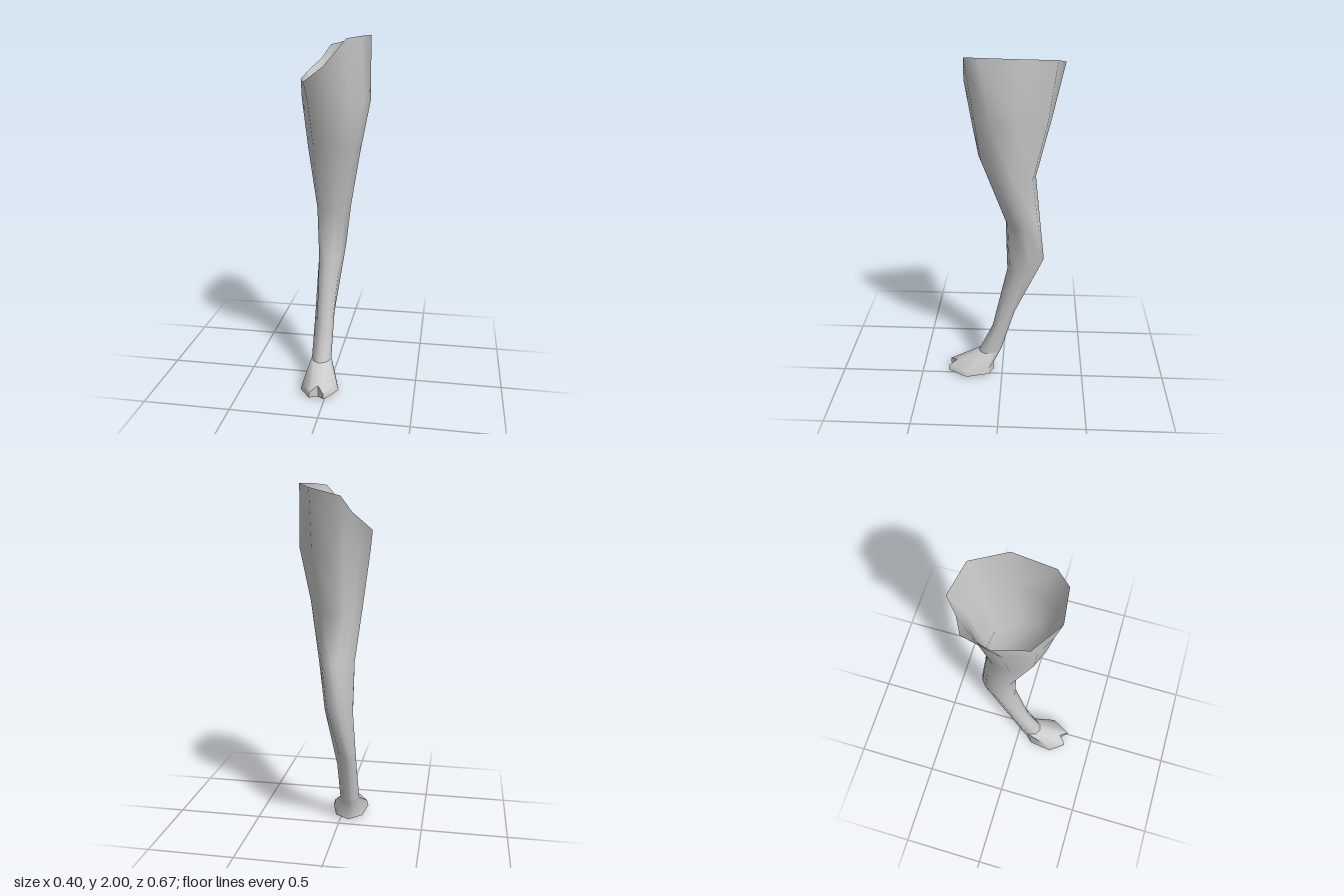
import * as THREE from 'three';
import { toCreasedNormals } from 'three/addons/utils/BufferGeometryUtils.js';

// Directions of the ten lengthwise edges, in degrees from the back towards +x
const ANGLES = [-8, 28, 80, 118, 150, 184, 222, 268, 310, 335];

// Tilted, slightly skewed oval section given by its extents
function oval({ x, zBack, zFront, yBack, yFront, skew = 0 }) {
  const cx = (x[0] + x[1]) / 2, rx = (x[1] - x[0]) / 2;
  const cz = (zBack + zFront) / 2, rz = (zFront - zBack) / 2;
  return ANGLES.map((deg) => {
    const a = THREE.MathUtils.degToRad(deg);
    const f = -Math.cos(a); // -1 at the back, 1 at the front
    return [
      cx + rx * Math.sin(a) + skew * f,
      THREE.MathUtils.lerp(yBack, yFront, (f + 1) / 2),
      cz + rz * f,
    ];
  });
}

// Skin over rings listed from top to bottom, with an optional sole
function loft(rings, soleCentre) {
  const n = ANGLES.length, index = [];
  const points = rings.flat();
  for (let r = 0; r < rings.length - 1; r++) {
    for (let i = 0; i < n; i++) {
      const a = r * n + i, b = r * n + (i + 1) % n;
      index.push(a, b, a + n, b, b + n, a + n);
    }
  }
  if (soleCentre) {
    const start = (rings.length - 1) * n;
    for (let i = 0; i < n; i++) index.push(points.length, start + i, start + (i + 1) % n);
    points.push(soleCentre);
  }
  const geometry = new THREE.BufferGeometry();
  geometry.setAttribute('position', new THREE.Float32BufferAttribute(points.flat(), 3));
  geometry.setIndex(index);
  geometry.computeVertexNormals();
  return geometry;
}

export function createModel() {
  const group = new THREE.Group();
  group.name = 'animalLeg';
  const material = new THREE.MeshStandardMaterial({ color: 0xcccccc, side: THREE.DoubleSide });
  const add = (name, geometry) => {
    const mesh = new THREE.Mesh(geometry, material);
    mesh.name = name;
    group.add(mesh);
  };

  // Open, slanting rim at the top of the thigh
  const rim = [
    [-0.07, 1.94, -0.335], [0.10, 1.98, -0.29], [0.19, 2.0, -0.11], [0.165, 2.0, 0.115],
    [0.10, 1.99, 0.19], [-0.02, 1.85, 0.203], [-0.15, 1.76, 0.085], [-0.20, 1.76, -0.09],
    [-0.185, 1.80, -0.245], [-0.12, 1.86, -0.28],
  ];

  // Thigh, hock and shank sections
  const fetlock = oval({ x: [-0.115, 0.0], zBack: 0.005, zFront: 0.145, yBack: 0.15, yFront: 0.14 });
  add('legSkin', loft([
    rim,
    oval({ x: [-0.185, 0.2], zBack: -0.272, zFront: 0.169, yBack: 1.66, yFront: 1.66 }),
    oval({ x: [-0.147, 0.147], zBack: -0.19, zFront: 0.13, yBack: 1.32, yFront: 1.44 }),
    oval({ x: [-0.11, 0.08], zBack: -0.219, zFront: -0.02, yBack: 1.05, yFront: 1.03, skew: -0.03 }),
    oval({ x: [-0.105, 0.048], zBack: -0.245, zFront: -0.03, yBack: 0.81, yFront: 0.72, skew: -0.02 }),
    oval({ x: [-0.11, 0.004], zBack: -0.085, zFront: 0.06, yBack: 0.45, yFront: 0.32 }),
    fetlock,
  ]));

  // Cloven hoof: outline from the heel round the two toes
  const outline = [
    [-0.05, 0.055], [0.03, 0.08], [0.068, 0.215], [0.045, 0.26], [0, 0.332],
    [-0.04, 0.285], [-0.085, 0.328], [-0.15, 0.24], [-0.13, 0.10], [-0.09, 0.06],
  ];
  const upperEdge = outline.map(([x, z], i) => [
    -0.04 + (x + 0.04) * 0.92, i === 5 ? 0.07 : 0.05, 0.2 + (z - 0.2) * 0.99,
  ]);
  const lowerEdge = outline.map(([x, z], i) => [x, i % 5 === 0 ? 0.004 : 0.016, z]);
  add('clovenHoof', toCreasedNormals(
    loft([fetlock, upperEdge, lowerEdge], [-0.04, 0, 0.17]), Math.PI / 3));

  return group;
}
